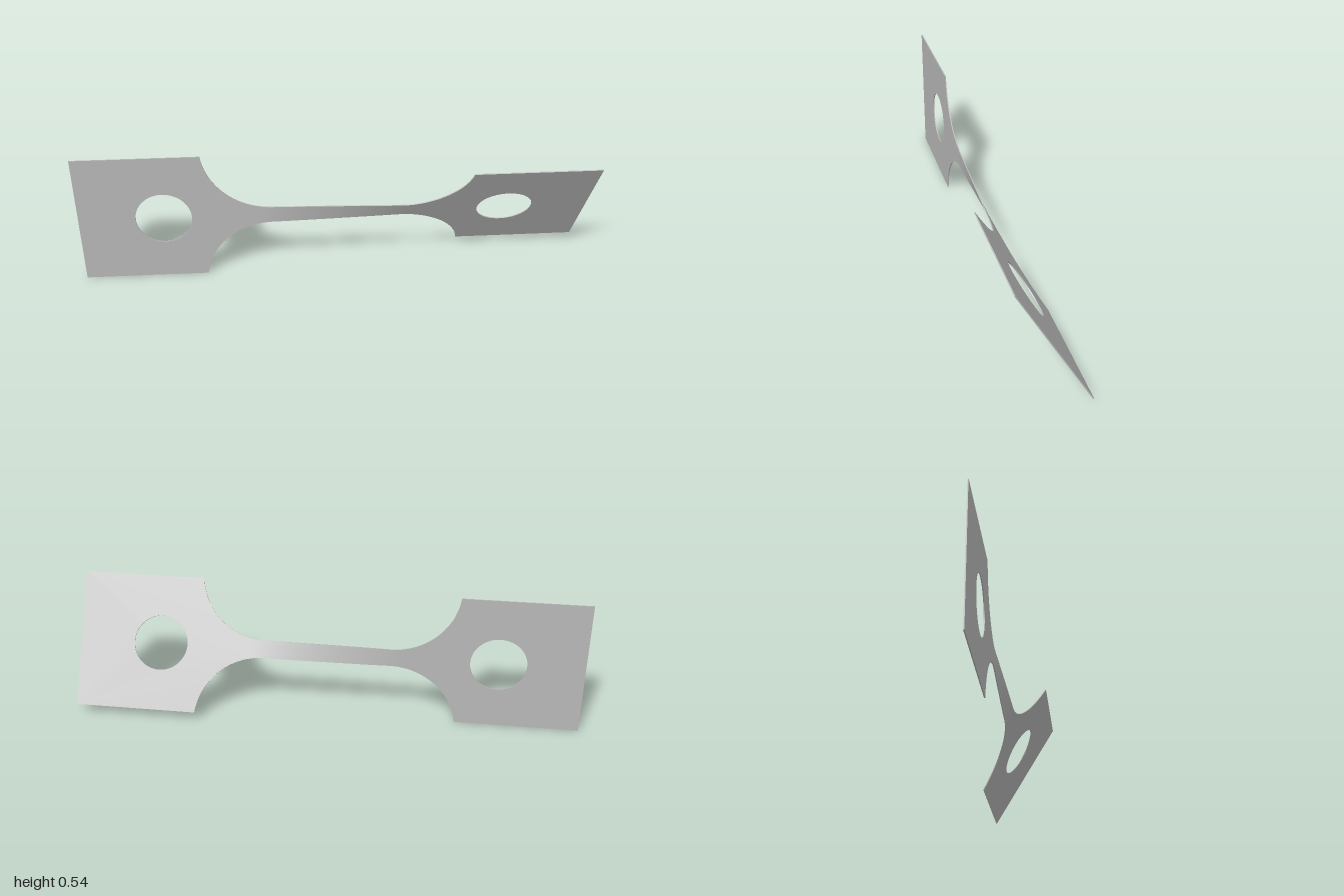
import * as THREE from 'three';

const THICK = 0.004, MID_Y = 0.2705, HALF_H = 0.27;
const JOIN = 0.3; // grips begin here; the neck twists between -JOIN and JOIN
const FILLET = { x: 0.25, y: 0.3, r: 0.265 };
const TWIST_A = THREE.MathUtils.degToRad(0.5);
const TWIST_B = THREE.MathUtils.degToRad(30.8);

// Half width of the bar at distance x from the middle
function halfWidth(x) {
  const d = Math.max(0, Math.abs(x) - FILLET.x);
  return FILLET.y - Math.sqrt(FILLET.r ** 2 - d ** 2);
}

// Flat end plate with concave shoulders and a round hole, reaching towards +x
function gripGeometry() {
  const { x, y, r } = FILLET;
  const start = Math.asin((JOIN - x) / r), end = Math.acos((y - HALF_H) / r);
  const upper = [];
  for (let i = 0; i <= 24; i++) {
    const a = start + (end - start) * i / 24;
    upper.push(new THREE.Vector2(x + r * Math.sin(a), y - r * Math.cos(a)));
  }
  upper.push(new THREE.Vector2(1, HALF_H));
  const lower = upper.map(p => new THREE.Vector2(p.x, -p.y));
  const shape = new THREE.Shape([...lower, ...upper.reverse()]);
  const hole = new THREE.Path();
  hole.absarc(0.67, 0, 0.109, 0, Math.PI * 2, true);
  shape.holes.push(hole);
  const geo = new THREE.ExtrudeGeometry(shape, { depth: THICK, bevelEnabled: false, curveSegments: 32 });
  return geo.translate(0, 0, -THICK / 2);
}

// Slim bar twisted along its length
function neckGeometry() {
  const geo = new THREE.BoxGeometry(2 * JOIN, 2, THICK, 60, 4, 1);
  const pos = geo.attributes.position;
  for (let i = 0; i < pos.count; i++) {
    const x = pos.getX(i), y = pos.getY(i) * halfWidth(x), z = pos.getZ(i);
    const a = THREE.MathUtils.lerp(TWIST_A, TWIST_B, (x + JOIN) / (2 * JOIN));
    pos.setXYZ(i, x, y * Math.cos(a) - z * Math.sin(a), y * Math.sin(a) + z * Math.cos(a));
  }
  geo.computeVertexNormals();
  return geo;
}

export function createModel() {
  const group = new THREE.Group();
  group.name = 'twistedTestBar';
  const metal = new THREE.MeshStandardMaterial({ color: 0xb8b8b8 });
  metal.name = 'plain grey metal';

  const add = (name, geo) => {
    const mesh = new THREE.Mesh(geo, metal);
    mesh.name = name;
    mesh.position.y = MID_Y;
    group.add(mesh);
    return mesh;
  };

  add('twistedNeck', neckGeometry());
  add('leftGrip', gripGeometry()).rotation.x = TWIST_B;
  // Turning half way round z mirrors the grip to the other end
  add('rightGrip', gripGeometry().rotateZ(Math.PI)).rotation.x = TWIST_A;
  return group;
}
